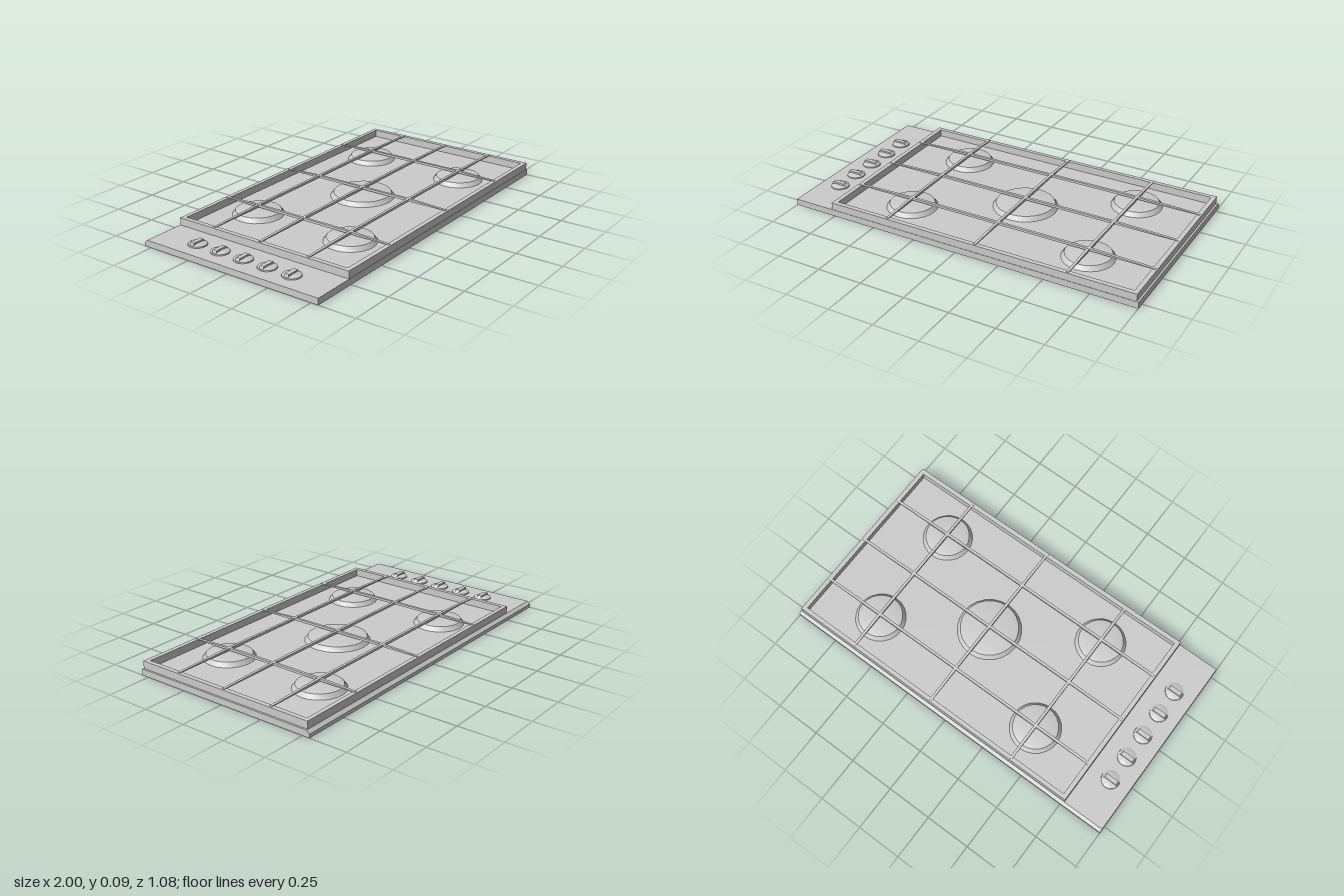
import * as THREE from 'three';
import { toCreasedNormals } from 'three/addons/utils/BufferGeometryUtils.js';

const material = new THREE.MeshStandardMaterial({ color: 0xcccccc, side: THREE.DoubleSide });
const PLATE = 0.035; // height of the hob plate
const RIM = 0.0755; // height of the raised frame
const COLS = [-0.415, 0.11, 0.625];
const ROWS = [-0.297, 0, 0.297];

function add(parent, name, geometry, x = 0, y = 0, z = 0) {
  const mesh = new THREE.Mesh(geometry, material);
  mesh.name = name;
  mesh.position.set(x, y, z);
  parent.add(mesh);
  return mesh;
}

const shapeOf = (points) => new THREE.Shape(points.map(([a, b]) => new THREE.Vector2(a, b)));

// Extrudes an outline, centred on its depth
function extrude(points, depth) {
  const geometry = new THREE.ExtrudeGeometry(shapeOf(points), { depth, bevelEnabled: false });
  return geometry.translate(0, 0, -depth / 2);
}

// Extrudes a (z, y) outline along x
const extrudeAlongX = (points, depth) => extrude(points, depth).rotateY(-Math.PI / 2);

function lathe(points, segments) {
  const profile = points.map(([r, y]) => new THREE.Vector2(r, y));
  return toCreasedNormals(new THREE.LatheGeometry(profile, segments), 0.5);
}

function rectangle(Type, x0, x1, z0, z1) {
  const path = new Type();
  path.moveTo(x0, -z1).lineTo(x1, -z1).lineTo(x1, -z0).lineTo(x0, -z0).closePath();
  return path;
}

// Pressed sheet plate, open underneath, with a chamfered back edge
function createPlate() {
  const plate = new THREE.Group();
  plate.name = 'basePlate';
  const t = 0.003;
  const outer = [[0.542, 0], [0.542, PLATE], [-0.525, PLATE], [-0.542, 0.02], [-0.542, 0]];
  const inner = [[-0.542 + t, 0], [-0.542 + t, 0.02 - t / 2], [-0.525 + t / 2, PLATE - t],
    [0.542 - t, PLATE - t], [0.542 - t, 0]];
  add(plate, 'plateSheet', extrudeAlongX([...outer, ...inner], 2 - 2 * t));
  for (const side of [-1, 1]) {
    add(plate, 'plateEnd', extrudeAlongX(outer, t), side * (1 - t / 2));
  }
  return plate;
}

// Raised rectangular frame around the burners
function createFrame() {
  const shape = rectangle(THREE.Shape, -0.765, 0.99, -0.523, 0.54);
  shape.holes.push(rectangle(THREE.Path, -0.74, 0.965, -0.5, 0.515));
  return new THREE.ExtrudeGeometry(shape, { depth: RIM - PLATE, bevelEnabled: false })
    .rotateX(-Math.PI / 2);
}

// Grate bar outline: flat in the middle, sloping down to both ends
const barOutline = (start, flatStart, flatEnd, end) => [
  [start, 0.074], [end, 0.074], [end, 0.078], [flatEnd, 0.087], [flatStart, 0.087], [start, 0.078],
];

function createGrate() {
  const grate = new THREE.Group();
  grate.name = 'grate';
  const width = 0.015;
  for (const z of ROWS) {
    add(grate, 'longBar', extrude(barOutline(-0.755, COLS[0], COLS[2], 0.98), width), 0, 0, z);
  }
  for (const x of COLS) {
    add(grate, 'crossBar', extrudeAlongX(barOutline(-0.515, ROWS[0], ROWS[2], 0.53), width), x);
  }
  return grate;
}

// Burner: sloped ring with a shallow domed cap
function createBurner(r) {
  return lathe([[r, 0], [r - 0.017, 0.024], [r * 0.7, 0.029], [r * 0.35, 0.032], [0, 0.033]], 24);
}

// Control knob: low round base with a tapered grip across it
function createKnob() {
  const knob = new THREE.Group();
  knob.name = 'knob';
  add(knob, 'knobBase', lathe([[0.05, 0], [0.049, 0.006], [0.035, 0.012], [0, 0.014]], 20));
  const grip = [[-0.046, 0.004], [0.046, 0.004], [0.03, 0.022], [-0.038, 0.022]];
  add(knob, 'knobGrip', extrude(grip, 0.024));
  return knob;
}

export function createModel() {
  const model = new THREE.Group();
  model.name = 'gasCooktop';

  model.add(createPlate());
  add(model, 'frame', createFrame(), 0, PLATE, 0);
  model.add(createGrate());

  // Four small burners at the corners, a large one in the middle
  for (const x of [COLS[0], COLS[2]]) {
    for (const z of [ROWS[0], ROWS[2]]) add(model, 'smallBurner', createBurner(0.138), x, PLATE, z);
  }
  add(model, 'largeBurner', createBurner(0.175), COLS[1], PLATE, 0);

  // Row of five knobs
  for (let i = -2; i <= 2; i++) {
    const knob = createKnob();
    knob.position.set(-0.888, PLATE, 0.008 + i * 0.148);
    model.add(knob);
  }
  return model;
}
